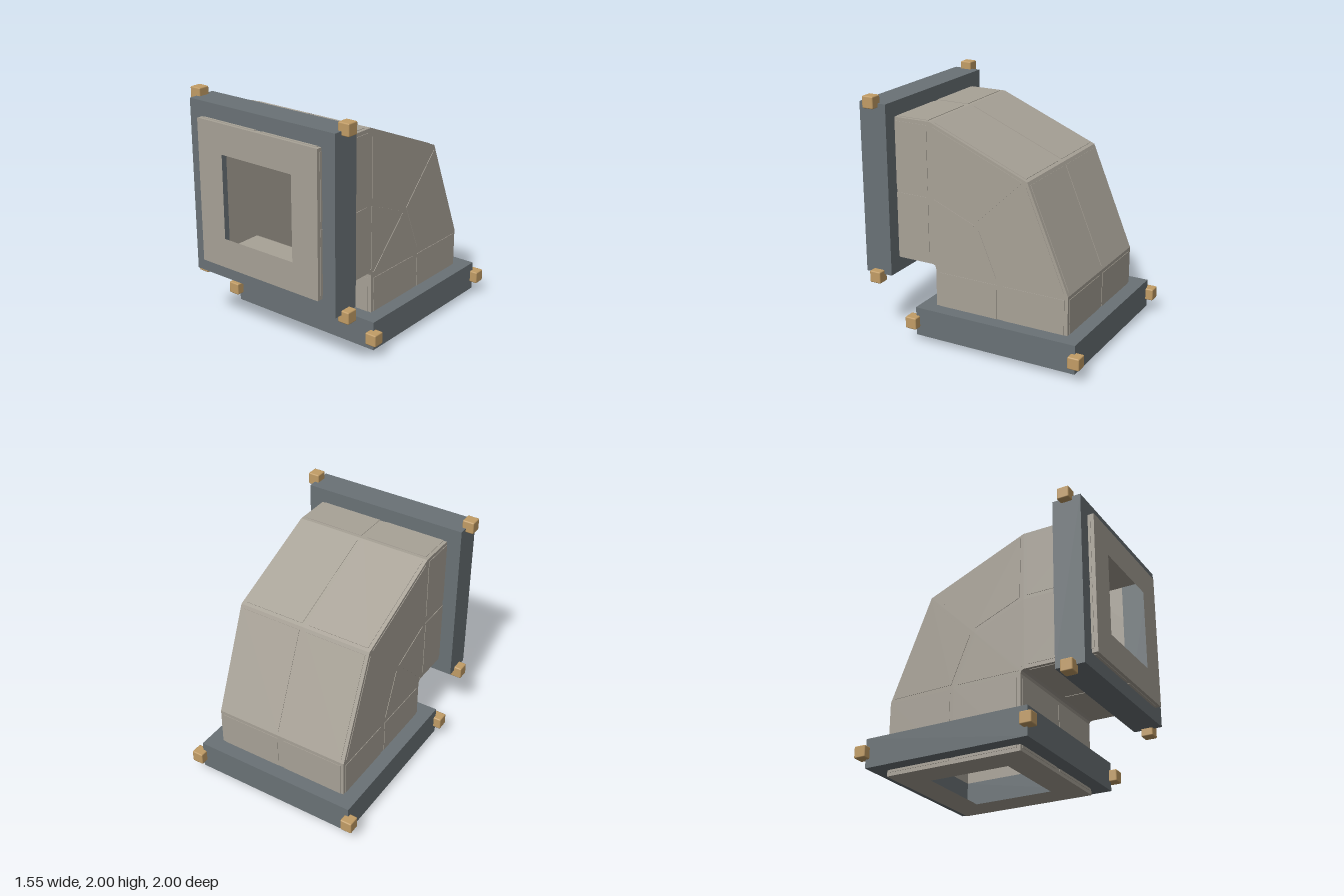
import * as THREE from 'three';
import { RoundedBoxGeometry } from 'three/addons/geometries/RoundedBoxGeometry.js';

const material = (name, color, side = THREE.FrontSide) => {
  const m = new THREE.MeshStandardMaterial({ color, side });
  m.name = name;
  return m;
};

// Flat-shaded geometry from a list of four-cornered faces
function quadGeometry(quads) {
  const pos = [];
  for (const [a, b, c, d] of quads) {
    for (const p of [a, b, c, a, c, d]) pos.push(p.x, p.y, p.z);
  }
  const g = new THREE.BufferGeometry();
  g.setAttribute('position', new THREE.Float32BufferAttribute(pos, 3));
  g.computeVertexNormals();
  return g;
}

function squareShape(half, hole) {
  const trace = (path, h) => path.moveTo(-h, -h).lineTo(h, -h).lineTo(h, h).lineTo(-h, h).closePath();
  const s = trace(new THREE.Shape(), half);
  s.holes.push(trace(new THREE.Path(), hole));
  return s;
}

export function createModel() {
  const duct = material('warm grey duct', 0xa8a297, THREE.DoubleSide);
  const steel = material('slate steel', 0x6a7276);
  const brass = material('brass', 0xc29d66);
  const root = new THREE.Group();
  root.name = 'ductElbow';
  const add = (parent, name, geometry, mat) => {
    const m = new THREE.Mesh(geometry, mat);
    m.name = name;
    parent.add(m);
    return m;
  };

  // Square cross-section swept around a pivot: straight, two bends, straight
  const W = 0.587, LO = 0.03, MID = 0.615, HI = 1.2, RUN = 0.61;
  const pivotY = 0.61, pivotZ = 0.39;
  const section = [[-W, LO], [0, LO], [W, LO], [W, MID], [W, HI], [0, HI], [-W, HI], [-W, MID]];
  const stations = [[0, 0, RUN], [0, 0, 0], [Math.PI / 4, 0, 0], [Math.PI / 2, 0, 0], [Math.PI / 2, -RUN, 0]];
  const rings = stations.map(([a, dy, dz]) => section.map(([x, r]) =>
    new THREE.Vector3(x, pivotY + r * Math.cos(a) + dy, pivotZ - r * Math.sin(a) + dz)));

  const shell = [], panels = [];
  for (let i = 0; i < 4; i++) {
    for (let j = 0; j < 8; j++) {
      const k = (j + 1) % 8;
      const q = [rings[i][j], rings[i + 1][j], rings[i + 1][k], rings[i][k]];
      shell.push(q);
      if (q[0].distanceTo(q[1]) < 0.06 && q[2].distanceTo(q[3]) < 0.06) continue;

      // Thin panel set in from the edges of each face
      const lift = q[2].clone().sub(q[0]).cross(q[3].clone().sub(q[1])).normalize().multiplyScalar(0.004);
      const low = q.map((p, n) => {
        const u = q[(n + 1) % 4].clone().sub(p), v = q[(n + 3) % 4].clone().sub(p);
        const step = Math.min(u.length(), v.length()) < 0.06 ? 0.03 : 0.042;
        return u.normalize().add(v.normalize()).normalize().multiplyScalar(step).add(p);
      });
      const high = low.map((p) => p.clone().add(lift));
      panels.push(high);
      for (let n = 0; n < 4; n++) {
        const m = (n + 1) % 4;
        panels.push([low[n], low[m], high[m], high[n]]);
      }
    }
  }
  add(root, 'ductShell', quadGeometry(shell), duct);
  add(root, 'ductPanels', quadGeometry(panels), duct);

  // Collar around each opening, with an end plate and four corner blocks
  function makeFlange(name) {
    const g = new THREE.Group();
    g.name = name;
    const depth = 0.24;
    const collar = new THREE.ExtrudeGeometry(squareShape(0.708, 0.585), { depth, bevelEnabled: false });
    add(g, 'collar', collar.translate(0, 0, -depth / 2), steel);
    add(g, 'endPlate', new THREE.ShapeGeometry(squareShape(W, 0.343)), duct).position.z = 0.17;
    const block = new RoundedBoxGeometry(0.1, 0.1, 0.1, 1, 0.01);
    for (const sx of [-1, 1]) {
      for (const sy of [-1, 1]) {
        add(g, 'cornerBlock', block, brass).position.set(sx * 0.723, sy * 0.723, 0);
      }
    }
    root.add(g);
    return g;
  }
  makeFlange('frontFlange').position.set(0, pivotY + MID, 0.83);
  const base = makeFlange('bottomFlange');
  base.position.set(0, 0.17, pivotZ - MID);
  base.rotation.x = Math.PI / 2;

  return root;
}
